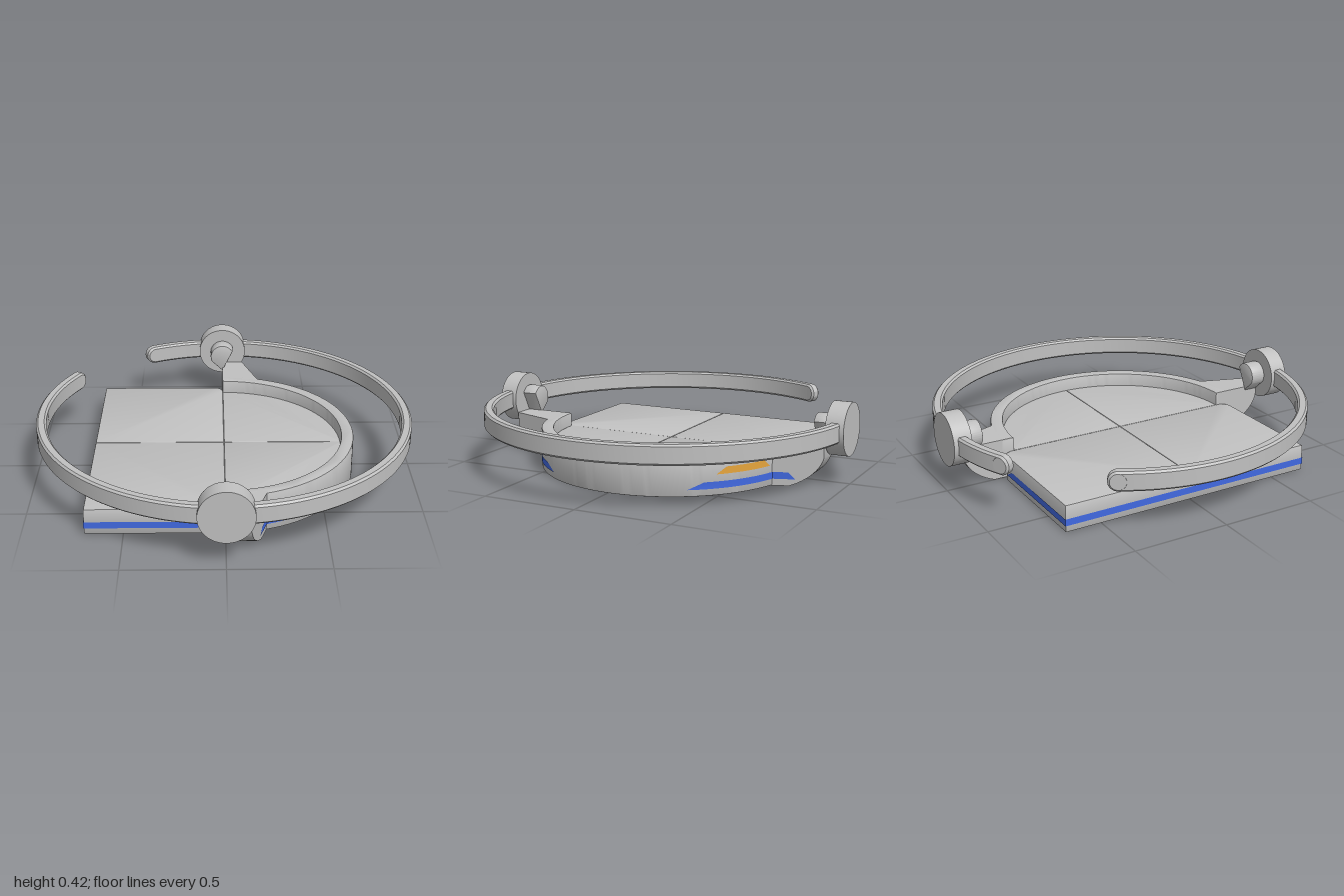
import * as THREE from 'three';
import { toCreasedNormals } from 'three/addons/utils/BufferGeometryUtils.js';

const shell = new THREE.MeshStandardMaterial({ color: 0xc0c0c0 });
shell.name = 'silver grey';
const blue = new THREE.MeshStandardMaterial({ color: 0x4169e1, side: THREE.DoubleSide });
blue.name = 'blue';
const orange = new THREE.MeshStandardMaterial({ color: 0xe6a53c, side: THREE.DoubleSide });
orange.name = 'orange';

const R = 0.69;
const RING_Y = 0.28;
const rad = THREE.MathUtils.degToRad;

function part(parent, name, geometry, material = shell) {
  const mesh = new THREE.Mesh(geometry, material);
  mesh.name = name;
  parent.add(mesh);
  return mesh;
}

// Extrusion whose bevel stays inside the outline and the depth
function bevelled(shape, depth, b) {
  const g = new THREE.ExtrudeGeometry(shape, {
    depth: depth - 2 * b, bevelEnabled: b > 0, bevelSize: b, bevelThickness: b,
    bevelOffset: -b, bevelSegments: 2, curveSegments: 48,
  });
  return toCreasedNormals(g.translate(0, 0, b), 0.5);
}

// Plan outline (x, z) raised from the ground to a height
function slab(shape, height, b = 0.006) {
  return bevelled(shape, height, b).rotateX(Math.PI / 2).translate(0, height, 0);
}

// Painted band along a path; lower and upper edges have their own start and end
function ribbon(path, low, high, y0, y1, n = 1) {
  const pos = [], index = [];
  for (let i = 0; i <= n; i++) {
    const [ax, az] = path(THREE.MathUtils.lerp(low[0], low[1], i / n));
    const [bx, bz] = path(THREE.MathUtils.lerp(high[0], high[1], i / n));
    pos.push(ax, y0, az, bx, y1, bz);
    if (i < n) {
      const k = 2 * i;
      index.push(k, k + 1, k + 2, k + 1, k + 3, k + 2);
    }
  }
  const g = new THREE.BufferGeometry();
  g.setAttribute('position', new THREE.Float32BufferAttribute(pos, 3));
  g.setIndex(index);
  return toCreasedNormals(g, 0.5);
}

// Path along the outside of the arm (u < 0) and then round the rim (u > 0)
function rimPath(u) {
  if (u < 0) {
    const t = -u / 0.253;
    return [0.203 - 0.08 * t, 0.661 + 0.24 * t];
  }
  const a = Math.atan2(0.66, 0.2) - u / R;
  return [(R + 0.003) * Math.cos(a), (R + 0.003) * Math.sin(a)];
}

// Everything that occurs once at the front and once at the back
function buildHalf(name) {
  const half = new THREE.Group();
  half.name = name;

  // Square tray quarter with one rounded corner
  const square = new THREE.Shape();
  square.moveTo(-R, 0);
  square.lineTo(0, 0);
  square.lineTo(0, R - 0.05);
  square.absarc(-0.05, R - 0.05, 0.05, 0, Math.PI / 2, false);
  square.lineTo(-R, R);
  part(half, 'squareTray', slab(square, 0.14));

  // Round tray quarter
  const round = new THREE.Shape();
  round.moveTo(0, 0);
  round.absarc(0, 0, 0.626, 0, Math.PI / 2, false);
  round.lineTo(0, 0);
  part(half, 'roundTray', slab(round, 0.14));

  // Tapering arm with a curved underside
  const profile = new THREE.Shape();
  profile.moveTo(-0.635, 0.21);
  profile.lineTo(-0.9, 0.21);
  profile.lineTo(-0.9, 0.145);
  profile.bezierCurveTo(-0.88, 0.07, -0.8, 0.02, -0.74, 0);
  profile.lineTo(-0.635, 0);
  const arm = new THREE.ExtrudeGeometry(profile, { depth: 1, bevelEnabled: false, curveSegments: 16 });
  arm.rotateY(Math.PI / 2);
  const p = arm.attributes.position;
  for (let i = 0; i < p.count; i++) {
    p.setX(i, p.getX(i) * (0.2 - (p.getZ(i) - 0.66) / 3));
  }
  part(half, 'arm', toCreasedNormals(arm, 0.5));

  // Leaning lug from the arm to the pivot
  const lug = new THREE.Shape();
  lug.moveTo(0.12, 0.19);
  lug.absarc(0, RING_Y, 0.07, rad(28), rad(208), false);
  lug.lineTo(0, 0.19);
  part(half, 'pivotLug', bevelled(lug, 0.085, 0.008)).position.z = 0.82;

  // Round pivot hub
  const hub = new THREE.CylinderGeometry(0.136, 0.136, 0.095, 64).rotateX(Math.PI / 2);
  part(half, 'pivotHub', hub).position.set(0, RING_Y, 0.9525);

  // Painted bands
  part(half, 'trayEndBand', ribbon(u => [u, R + 0.003], [-R - 0.003, -0.05], [-R - 0.003, -0.11], 0.035, 0.07), blue);
  part(half, 'traySideBand', ribbon(u => [-R - 0.003, u], [0, R + 0.003], [0, R + 0.003], 0.035, 0.07), blue);
  part(half, 'rimLowerBand', ribbon(rimPath, [-0.115, 0.485], [-0.08, 0.4], 0.035, 0.07, 48), blue);
  part(half, 'rimUpperBand', ribbon(rimPath, [0.02, 0.34], [0.063, 0.287], 0.105, 0.14, 32), orange);
  return half;
}

export function createModel() {
  const model = new THREE.Group();
  model.name = 'swivelTray';

  model.add(buildHalf('frontHalf'));
  const back = buildHalf('backHalf');
  back.scale.z = -1;
  model.add(back);

  // Raised half-round rim
  const rim = new THREE.Shape();
  rim.moveTo(0, -R);
  rim.absarc(0, 0, R, -Math.PI / 2, Math.PI / 2, false);
  rim.lineTo(0, 0.626);
  rim.absarc(0, 0, 0.626, Math.PI / 2, -Math.PI / 2, true);
  part(model, 'rim', slab(rim, 0.21));

  // Open swivel ring with softened edges
  const section = [
    [0.935, -0.04], [0.945, -0.05], [0.977, -0.05], [0.987, -0.04],
    [0.987, 0.04], [0.977, 0.05], [0.945, 0.05], [0.935, 0.04], [0.935, -0.04],
  ].map(([r, y]) => new THREE.Vector2(r, y));
  const start = rad(239.4), end = rad(205.2 + 360);
  const ring = new THREE.LatheGeometry(section, 160, start, end - start);
  part(model, 'swivelRing', toCreasedNormals(ring, 0.5)).position.y = RING_Y;

  // Rounded ring ends
  const tip = [[0, -0.026], [0.04, -0.026], [0.05, -0.016], [0.05, 0.016], [0.04, 0.026], [0, 0.026]]
    .map(([r, y]) => new THREE.Vector2(r, y));
  for (const a of [start, end]) {
    const g = toCreasedNormals(new THREE.LatheGeometry(tip, 40), 0.5);
    g.rotateX(Math.PI / 2).translate(0, 0, 0.961).rotateY(a);
    part(model, 'ringEnd', g).position.y = RING_Y;
  }
  return model;
}
